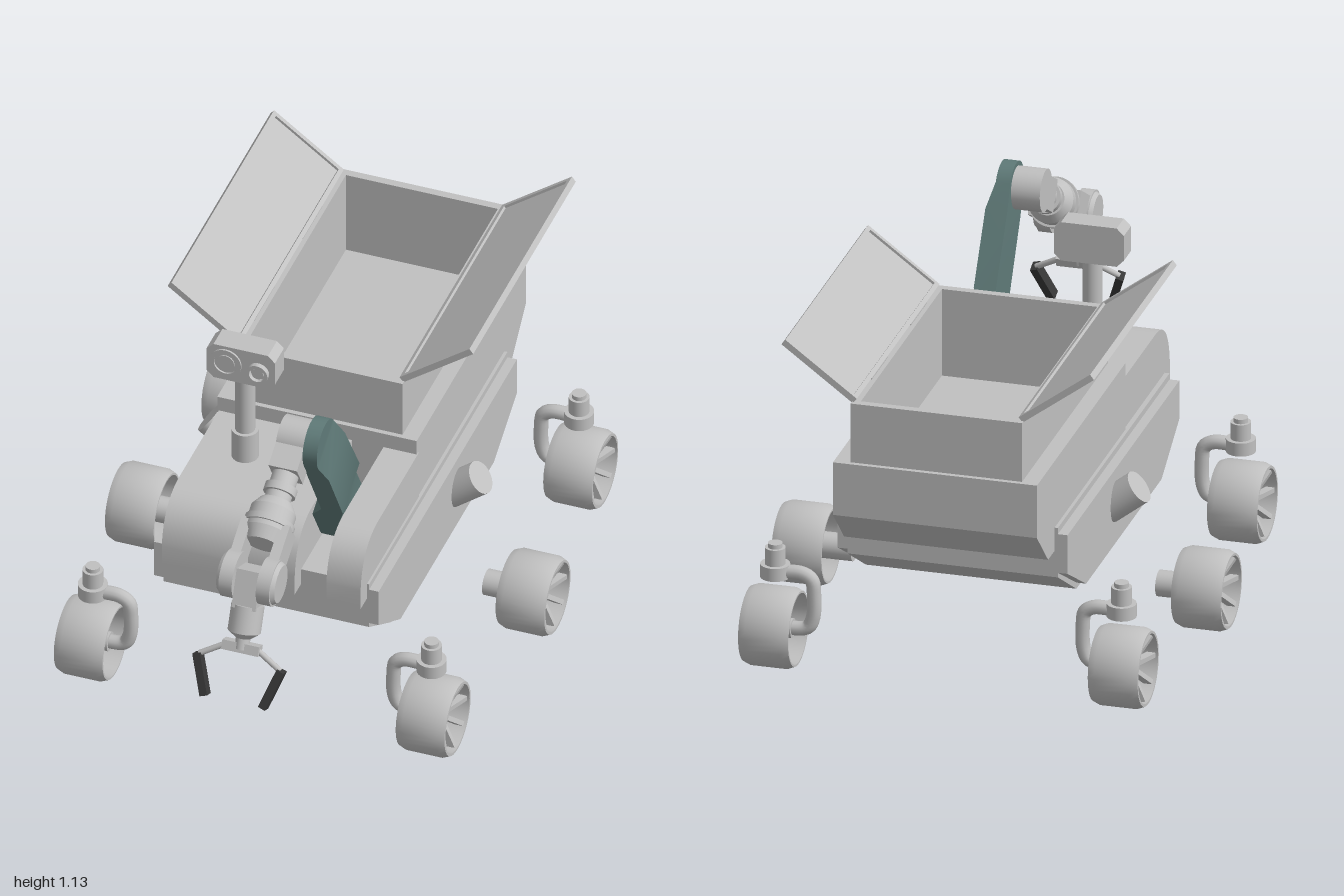
import * as THREE from 'three';
import { toCreasedNormals } from 'three/addons/utils/BufferGeometryUtils.js';

const makeMat = (name, color) => Object.assign(new THREE.MeshStandardMaterial({ color }), { name });
const V = (x, y, z) => new THREE.Vector3(x, y, z);
const toPoints = list => list.map(p => new THREE.Vector2(...p));

function add(parent, name, geo, mat) {
  const m = new THREE.Mesh(geo, mat);
  m.name = name;
  parent.add(m);
  return m;
}
function group(parent, name, x = 0, y = 0, z = 0, rx = 0) {
  const g = new THREE.Group();
  g.name = name;
  g.position.set(x, y, z);
  g.rotation.x = rx;
  parent.add(g);
  return g;
}
// box given by its minimum and maximum corners
const box = (x0, x1, y0, y1, z0, z1) => new THREE.BoxGeometry(x1 - x0, y1 - y0, z1 - z0)
  .translate((x0 + x1) / 2, (y0 + y1) / 2, (z0 + z1) / 2);
// side profile, a shape or a list of [z, y] points, extruded from x0 to x1
function slab(profile, x0, x1) {
  const shape = Array.isArray(profile) ? new THREE.Shape(toPoints(profile)) : profile;
  const g = new THREE.ExtrudeGeometry(shape, { depth: x1 - x0, bevelEnabled: false, curveSegments: 16 });
  return toCreasedNormals(g.rotateY(-Math.PI / 2).translate(x1, 0, 0), 0.5);
}
// round bar between two points
function rod(a, b, r0, r1 = r0, sides = 28) {
  const d = b.clone().sub(a);
  const g = new THREE.CylinderGeometry(r1, r0, d.length(), sides);
  g.applyQuaternion(new THREE.Quaternion().setFromUnitVectors(V(0, 1, 0), d.clone().normalize()));
  return g.translate((a.x + b.x) / 2, (a.y + b.y) / 2, (a.z + b.z) / 2);
}
// rectangular cross-sections [s, halfWidth, x0, x1] joined along z
function loft(sections) {
  const pos = [], idx = [];
  for (const [s, w, x0, x1] of sections) pos.push(x0, -w, s, x1, -w, s, x1, w, s, x0, w, s);
  const n = sections.length;
  for (let i = 0; i < n - 1; i++) for (let j = 0; j < 4; j++) {
    const a = i * 4 + j, b = i * 4 + (j + 1) % 4;
    idx.push(a, b, b + 4, a, b + 4, a + 4);
  }
  const e = (n - 1) * 4;
  idx.push(0, 2, 1, 0, 3, 2, e, e + 1, e + 2, e, e + 2, e + 3);
  const g = new THREE.BufferGeometry();
  g.setAttribute('position', new THREE.Float32BufferAttribute(pos, 3));
  g.setIndex(idx);
  return toCreasedNormals(g, 0.5);
}

export function createModel() {
  const grey = makeMat('light grey', 0xc0c0c0);
  const teal = makeMat('slate teal', 0x5f7a78);
  const dark = makeMat('dark grey', 0x383838);
  const model = new THREE.Group();
  model.name = 'rover';

  // chassis with side plates and angled side stubs
  const body = group(model, 'body');
  add(body, 'chassis', slab([[0.39, 0.525], [0.39, 0.365], [0.2, 0.245], [-0.61, 0.245], [-0.81, 0.365], [-0.81, 0.525]], -0.325, 0.325), grey);
  const plate = [[0.39, 0.505], [0.39, 0.38], [0.2, 0.265], [-0.61, 0.265], [-0.81, 0.38], [-0.81, 0.505]];
  for (const s of [-1, 1]) {
    add(body, 'sidePlate', slab(plate, s > 0 ? 0.32 : -0.355, s > 0 ? 0.355 : -0.32), grey);
    add(body, 'sideStub', rod(V(s * 0.33, 0.38, -0.295), V(s * 0.428, 0.456, -0.295), 0.052), grey);
  }

  // rounded front hull, split by the arm slot
  const hull = new THREE.Shape();
  hull.moveTo(-0.06, 0.47);
  hull.lineTo(0.445, 0.47);
  hull.lineTo(0.445, 0.54);
  hull.bezierCurveTo(0.435, 0.64, 0.38, 0.69, 0.29, 0.69);
  hull.lineTo(-0.06, 0.69);
  add(body, 'frontHullRight', slab(hull, -0.31, 0.11), grey);
  add(body, 'frontHullLeft', slab(hull, 0.21, 0.318), grey);

  // rear hull with a recess for the cargo bin
  const hullSide = [[-0.05, 0.74], [-0.05, 0.52], [-0.8, 0.52], [-0.8, 0.45], [-0.88, 0.45], [-1, 0.57], [-1, 0.74]];
  const recess = [[-0.96, 0.74], [-0.96, 0.65], [-0.09, 0.65], [-0.09, 0.74]];
  add(body, 'rearHullRight', slab(hullSide, -0.315, -0.24), grey);
  add(body, 'rearHullMiddle', slab([...hullSide, ...recess], -0.24, 0.24), grey);
  add(body, 'rearHullLeft', slab(hullSide, 0.24, 0.315), grey);

  // open cargo bin
  const bin = group(model, 'cargoBin');
  for (const s of [-1, 1]) add(bin, 'binSide', box(s > 0 ? 0.24 : -0.265, s > 0 ? 0.265 : -0.24, 0.735, 0.93, -0.985, -0.065), grey);
  add(bin, 'binFront', box(-0.24, 0.24, 0.735, 0.93, -0.09, -0.065), grey);
  add(bin, 'binBack', box(-0.24, 0.24, 0.735, 0.93, -0.985, -0.96), grey);

  // raised lids with rims and hinges
  for (const s of [-1, 1]) {
    const lid = group(model, 'lid', s * 0.262, 0.925, -0.525);
    lid.rotation.z = s > 0 ? 0.64 : Math.PI - 0.64;
    const up = (y0, y1) => s > 0 ? [y0, y1] : [-y1, -y0];
    add(lid, 'lidPanel', box(0, 0.275, ...up(0, 0.012), -0.445, 0.445), grey);
    for (const [x0, x1, z0, z1] of [[0, 0.014, -0.445, 0.445], [0.261, 0.275, -0.445, 0.445],
      [0.014, 0.261, -0.445, -0.431], [0.014, 0.261, 0.431, 0.445]])
      add(lid, 'lidRim', box(x0, x1, ...up(0.012, 0.02), z0, z1), grey);
    for (const z of [-0.29, -0.71])
      add(model, 'hinge', rod(V(s * 0.262, 0.932, z - 0.085), V(s * 0.262, 0.932, z + 0.085), 0.009, 0.009, 12), grey);
  }

  // camera mast
  const mast = group(model, 'cameraMast', -0.163, 0, 0.125);
  add(mast, 'mastBase', rod(V(0, 0.68, 0), V(0, 0.79, 0), 0.041), grey);
  add(mast, 'mastPole', rod(V(0, 0.78, 0), V(0, 1, 0), 0.03), grey);
  const c = 0.022, hw = 0.108, hh = 0.062;
  const headShape = new THREE.Shape(toPoints([[-hw, -hh + c], [-hw + c, -hh], [hw - c, -hh], [hw, -hh + c],
    [hw, hh - c], [hw - c, hh], [-hw + c, hh], [-hw, hh - c]]));
  add(mast, 'cameraHead', new THREE.ExtrudeGeometry(headShape, { depth: 0.078, bevelEnabled: false }).translate(0, 1.049, -0.039), grey);
  for (const [x, y, r, d] of [[-0.047, 1.051, 0.05, 0.006], [0.056, 1.042, 0.034, 0.016]]) {
    const ring = toPoints([[r * 0.72, 0], [r, 0], [r, d], [r * 0.72, d], [r * 0.72, 0]]);
    add(mast, 'lensRing', toCreasedNormals(new THREE.LatheGeometry(ring, 32).rotateX(Math.PI / 2).translate(x, y, 0.039), 0.5), grey);
    add(mast, 'lens', rod(V(x, y, 0.039), V(x, y, 0.039 + d * 0.6), r * 0.55), grey);
  }

  // upper arm: offset plate with rounded ends
  const R = 0.08, L = 0.522, stations = [];
  for (let i = 0; i <= 8; i++) {
    const a = i / 8 * Math.PI / 2;
    stations.push([-R * Math.cos(a), Math.max(R * Math.sin(a), 0.002), 0.115, 0.203]);
  }
  stations.push([0.13, R, 0.115, 0.203], [0.2, R + 0.004, 0.157, 0.225], [0.44, R, 0.157, 0.225]);
  for (let i = 8; i >= 0; i--) {
    const a = i / 8 * Math.PI / 2;
    stations.push([L + R * Math.cos(a), Math.max(R * Math.sin(a), 0.002), 0.16, 0.205]);
  }
  const arm = group(model, 'arm');
  const upper = group(arm, 'upperArm', 0, 0.6, 0.17, -Math.atan2(0.45, 0.265));
  add(upper, 'upperArmPlate', loft(stations), teal);

  // forearm, local +z runs towards the wrist
  const fore = group(arm, 'forearm', 0.115, 1.05, 0.435, 0.536);
  add(fore, 'elbowDrum', rod(V(-0.045, 0, 0), V(0.05, 0, 0), 0.066), grey);
  add(fore, 'elbowBlock', box(-0.045, 0.045, -0.05, 0.05, 0, 0.12), grey);
  for (const [z0, z1, r0, r1] of [[0.11, 0.22, 0.04, 0.04], [0.16, 0.185, 0.05, 0.05], [0.21, 0.24, 0.05, 0.07],
    [0.24, 0.31, 0.07, 0.07], [0.275, 0.295, 0.077, 0.077], [0.31, 0.35, 0.07, 0.055]])
    add(fore, 'forearmSegment', rod(V(0, 0, z0), V(0, 0, z1), r0, r1), grey);
  for (const s of [-1, 1]) {
    add(fore, 'yokeArm', box(s * 0.06 - 0.016, s * 0.06 + 0.016, -0.045, 0.045, 0.29, 0.46), grey);
    add(fore, 'yokeDisc', rod(V(s * 0.038, 0, 0.46), V(s * 0.08, 0, 0.46), 0.072), grey);
    add(fore, 'yokeCap', rod(V(s * 0.08, 0, 0.46), V(s * 0.092, 0, 0.46), 0.066, 0.058), grey);
  }

  // wrist and two-finger gripper
  const wrist = group(fore, 'wrist', 0, 0, 0.46, 0.621);
  add(wrist, 'wristBlock', box(-0.038, 0.038, -0.042, 0.042, -0.03, 0.09), grey);
  add(wrist, 'wristCylinder', rod(V(0, 0, 0.08), V(0, 0, 0.165), 0.05), grey);
  add(wrist, 'wristTaper', rod(V(0, 0, 0.165), V(0, 0, 0.185), 0.05, 0.025), grey);
  add(wrist, 'palmNeck', rod(V(0, 0, 0.18), V(0, 0, 0.22), 0.022), grey);
  add(wrist, 'palm', box(-0.058, 0.058, -0.018, 0.018, 0.2, 0.23), grey);
  for (const s of [-1, 1]) {
    add(wrist, 'fingerLink', rod(V(s * 0.045, 0, 0.212), V(s * 0.128, 0, 0.262), 0.009, 0.009, 12), grey);
    const finger = add(wrist, 'finger', box(-0.012, 0.012, -0.018, 0.018, -0.065, 0.065), dark);
    finger.position.set(s * 0.112, 0, 0.322);
    finger.rotation.y = -s * 0.32;
  }

  // wheels: hollow rims with dished spokes near the outer face
  const rim = toPoints([[0.114, -0.077], [0.123, -0.055], [0.123, 0.055], [0.114, 0.077],
    [0.106, 0.077], [0.108, -0.077], [0.114, -0.077]]);
  const rimGeo = toCreasedNormals(new THREE.LatheGeometry(rim, 40), 0.5);
  const spokeGeo = new THREE.BoxGeometry(0.092, 0.026, 0.015).rotateZ(0.4).translate(0.066, 0.04, 0);
  for (const s of [-1, 1]) for (const [x, z, steered] of [[0.54, 0.425, true], [0.617, -0.23, false], [0.54, -0.855, true]]) {
    const unit = group(model, 'wheelUnit', 0, 0, z);
    const wheel = group(unit, 'wheel', s * x, 0.123, 0);
    wheel.rotation.z = -s * Math.PI / 2;
    add(wheel, 'rim', rimGeo, grey);
    add(wheel, 'hub', rod(V(0, -0.06, 0), V(0, 0.04, 0), 0.03), grey);
    for (let i = 0; i < 8; i++) add(wheel, 'spoke', spokeGeo, grey).rotation.y = i * Math.PI / 4;
    if (!steered) {
      add(unit, 'axle', rod(V(s * 0.47, 0.123, 0), V(s * 0.57, 0.123, 0), 0.04), grey);
      continue;
    }
    // steering post and curved fork
    const px = s * 0.535;
    add(unit, 'steeringFlange', rod(V(px, 0.285, 0), V(px, 0.327, 0), 0.045), grey);
    add(unit, 'steeringPost', rod(V(px, 0.327, 0), V(px, 0.38, 0), 0.031), grey);
    add(unit, 'postCap', rod(V(px, 0.38, 0), V(px, 0.394, 0), 0.022), grey);
    const path = new THREE.CatmullRomCurve3([[0.52, 0.303], [0.45, 0.303], [0.422, 0.285], [0.415, 0.24],
      [0.418, 0.165], [0.435, 0.132], [0.51, 0.123]].map(([a, b]) => V(s * a, b, 0)));
    add(unit, 'fork', new THREE.TubeGeometry(path, 32, 0.022, 12), grey);
  }
  return model;
}
